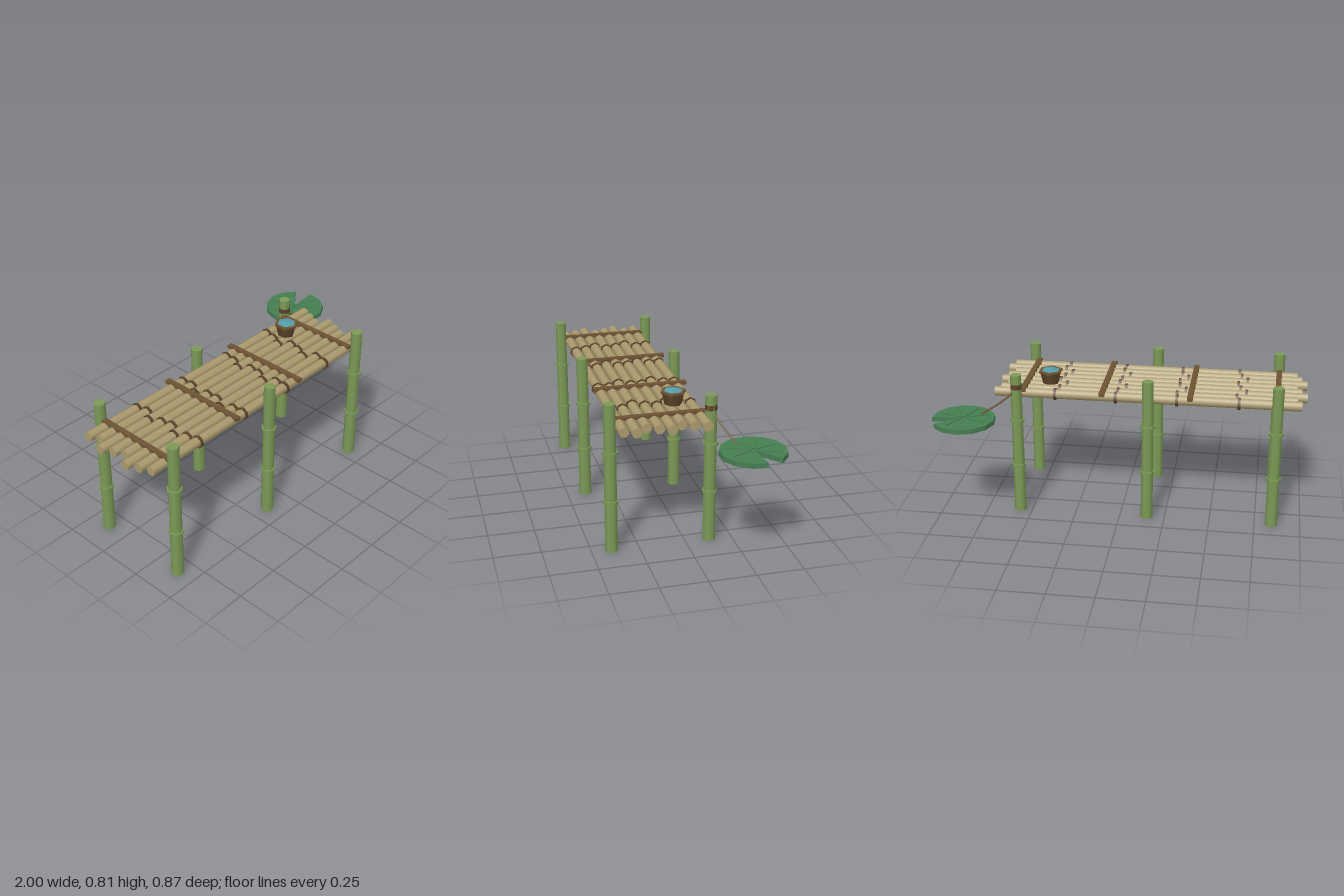
import * as THREE from 'three';

const mat = (name, color) => {
  const m = new THREE.MeshStandardMaterial({ color });
  m.name = name;
  return m;
};

export function createModel() {
  const root = new THREE.Group();
  root.name = 'bambooDock';
  const green = mat('bambooGreen', 0x7b9a56);
  const tan = mat('dryBamboo', 0xab9b6e);
  const brown = mat('crossbarBrown', 0x6e5334);
  const rope = mat('ropeBrown', 0x5c4229);
  const bucketMat = mat('bucketBrown', 0x5e472b);
  const leaf = mat('leafGreen', 0x467d52);
  const water = mat('waterBlue', 0x539daa);

  const add = (parent, name, geo, material, x = 0, y = 0, z = 0) => {
    const m = new THREE.Mesh(geo, material);
    m.name = name;
    m.position.set(x, y, z);
    parent.add(m);
    return m;
  };
  const group = (name) => {
    const g = new THREE.Group();
    g.name = name;
    root.add(g);
    return g;
  };

  // Six tapered posts with raised nodes
  const postGeo = new THREE.CylinderGeometry(0.031, 0.0345, 0.81, 7);
  const nodeGeo = new THREE.CylinderGeometry(0.041, 0.041, 0.013, 7);
  for (const x of [-0.842, -0.152, 0.566]) {
    for (const z of [-0.128, 0.395]) {
      const post = group('post');
      post.position.set(x, 0, z);
      add(post, 'postStem', postGeo, green, 0, 0.405, 0);
      for (const y of [0.28, 0.548]) add(post, 'postNode', nodeGeo, green, 0, y, 0);
    }
  }

  // Deck of eight staggered poles, each with four dark bands
  const spans = [[-0.97, 0.695], [-0.945, 0.67], [-1, 0.645]];
  const deck = group('deck');
  const bandGeo = new THREE.CylinderGeometry(0.034, 0.034, 0.015, 7);
  for (const g of [bandGeo]) g.rotateY(Math.PI / 2).rotateZ(Math.PI / 2);
  for (let i = 0; i < 8; i++) {
    const [a, b] = spans[i % 3];
    const z = -0.078 + i * 0.0603;
    const pole = new THREE.CylinderGeometry(0.0275, 0.0275, b - a, 7);
    pole.rotateY(Math.PI / 2).rotateZ(Math.PI / 2);
    // a corner of each pole points down
    pole.rotateX(0);
    add(deck, 'deckPole', pole, tan, (a + b) / 2, 0.692, z);
    for (const t of [0.2, 0.4, 0.6, 0.8]) {
      add(deck, 'poleBand', bandGeo, rope, a + (b - a) * t, 0.69, z);
    }
  }

  // Cross bars lashed over the deck
  for (const [x, len] of [[-0.842, 0.485], [-0.375, 0.51], [0.102, 0.51], [0.537, 0.485]]) {
    add(root, 'crossBar', new THREE.BoxGeometry(0.03, 0.019, len), brown, x, 0.7145, 0.13);
  }

  // Hexagonal bucket with rim and water
  const bucket = group('bucket');
  bucket.position.set(0.405, 0, 0.026);
  add(bucket, 'bucketBody', new THREE.CylinderGeometry(0.061, 0.046, 0.065, 6), bucketMat, 0, 0.749, 0);
  add(bucket, 'bucketRim', new THREE.CylinderGeometry(0.068, 0.068, 0.01, 6), brown, 0, 0.784, 0);
  add(bucket, 'water', new THREE.ConeGeometry(0.051, 0.014, 6), water, 0, 0.797, 0);

  // Floating leaf with a wedge notch
  const pad = group('lilyPad');
  pad.position.set(0.829, 0, -0.268);
  const R = 0.171, start = 0.66, sweep = 5.74, segs = 12;
  const shape = new THREE.Shape();
  shape.moveTo(0, 0);
  for (let i = 0; i <= segs; i++) {
    const t = start + (sweep * i) / segs;
    shape.lineTo(Math.cos(t) * R, Math.sin(t) * R);
  }
  shape.closePath();
  const padGeo = new THREE.ExtrudeGeometry(shape, { depth: 0.026, bevelEnabled: false });
  padGeo.rotateX(-Math.PI / 2);
  add(pad, 'leafBlade', padGeo, leaf, 0, 0.578, 0);
  for (let i = 0; i < 7; i++) {
    const t = start + (sweep * (i + 0.5)) / 7;
    const vein = add(pad, 'leafVein', new THREE.BoxGeometry(0.125, 0.007, 0.009), leaf,
      Math.cos(t) * 0.072, 0.605, -Math.sin(t) * 0.072);
    vein.rotation.y = t;
  }

  // Tether from the corner post to the leaf, with its knot ring
  const path = new THREE.CatmullRomCurve3([
    new THREE.Vector3(0.574, 0.718, -0.138),
    new THREE.Vector3(0.645, 0.662, -0.168),
    new THREE.Vector3(0.745, 0.605, -0.212),
  ]);
  add(root, 'tether', new THREE.TubeGeometry(path, 8, 0.0055, 6), brown);
  add(root, 'tetherRing', new THREE.CylinderGeometry(0.0325, 0.0325, 0.027, 9), rope, 0.566, 0.745, -0.128);

  return root;
}
